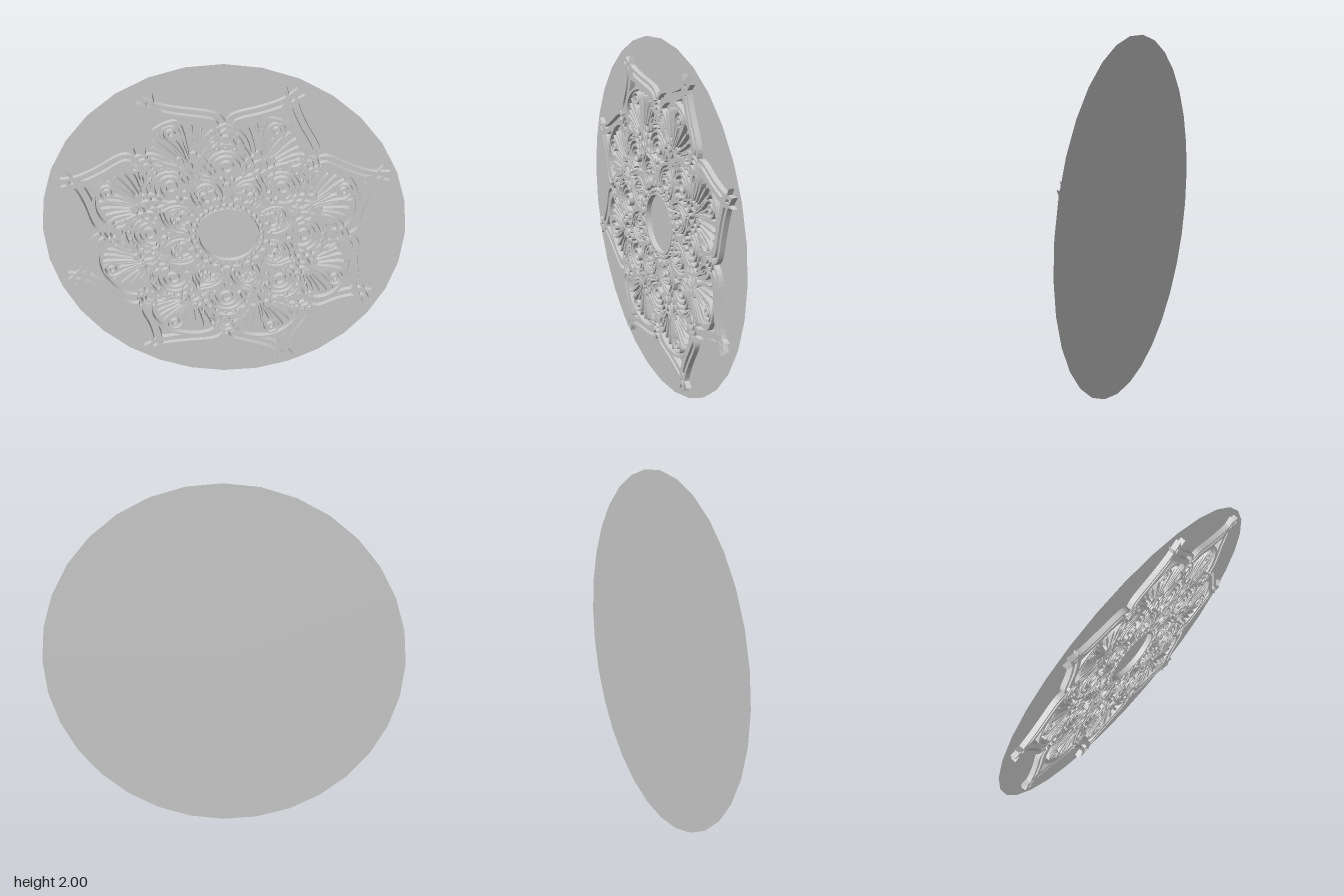
import * as THREE from 'three';
import { mergeGeometries } from 'three/addons/utils/BufferGeometryUtils.js';

const DEG = Math.PI / 180, SECTOR = 45 * DEG, HALF = SECTOR / 2;
const BACK = -0.015, RELIEF = 0.029;
// Slight hand-drawn irregularity of the eight petals: angle offset and tip radius
const LEAN = [2, -0.5, 4.5, 1.5, -2.5, -5.5, 0.3, -5];
const REACH = [0.967, 0.955, 0.93, 0.94, 0.94, 0.94, 0.955, 0.935];

const V = (x, y) => new THREE.Vector2(x, y);
const polar = (r, deg) => V(r * Math.cos(deg * DEG), r * Math.sin(deg * DEG));
const smooth = (pts, n = 16) => new THREE.SplineCurve(pts).getPoints(n);
const flip = pts => pts.map(p => V(p.x, -p.y));

// Mirror a half outline that starts on the axis into a full one with a crisp tip
const mirrored = half => {
  const h = smooth(half.map(([r, a]) => polar(r, a)));
  return [...flip(h).reverse(), ...h.slice(1)];
};

const arc = (cx, cy, rx, ry, from, to, n = 24) => Array.from({ length: n + 1 }, (_, i) => {
  const t = (from + (to - from) * i / n) * DEG;
  return V(cx + rx * Math.cos(t), cy + ry * Math.sin(t));
});

// Parallel copy of an open line, with limited mitres
function offset(pts, d) {
  return pts.map((p, i) => {
    const a = pts[Math.max(0, i - 1)], b = pts[Math.min(pts.length - 1, i + 1)];
    const d1 = p.clone().sub(a).normalize(), d2 = b.clone().sub(p).normalize();
    if (i === 0) d1.copy(d2);
    if (i === pts.length - 1) d2.copy(d1);
    const n = V(-d1.y - d2.y, d1.x + d2.x).normalize();
    const m = Math.min(2.2, 1 / Math.max(0.2, n.dot(V(-d1.y, d1.x))));
    return p.clone().addScaledVector(n, d * m);
  });
}

// Each ornament is { outer, hole } in a local frame
const stroke = (pts, w) => ({ outer: [...offset(pts, w / 2), ...offset(pts, -w / 2).reverse()] });
const oval = (x, y, rx, ry = rx, n = 12) => ({ outer: arc(x, y, rx, ry, 0, 360, n).slice(0, -1) });
const ring = (x, y, r, w, ratio = 1, n = 18) => ({
  outer: oval(x, y, r, r * ratio, n).outer,
  hole: oval(x, y, r - w, (r - w) * ratio, n).outer,
});
// Teardrop from a point at its base to a round outer end
function drop(x, y, deg, start, end, w) {
  const d = polar(1, deg), pts = [];
  for (let i = 0; i < 16; i++) {
    const t = i / 16 * Math.PI * 2;
    const s = (1 - Math.cos(t)) / 2, side = w * Math.sin(t) * (0.25 + 0.75 * s);
    const l = start + (end - start) * s;
    pts.push(V(x + d.x * l - d.y * side, y + d.y * l + d.x * side));
  }
  return { outer: pts };
}
const both = item => [item, { outer: flip(item.outer), hole: item.hole && flip(item.hole) }];

// Turn a local point to its angle and add the hand-drawn irregularity
function place(p, turn) {
  let r = p.length();
  let t = Math.atan2(p.y, p.x) + turn;
  t = ((t % (2 * Math.PI)) + 2 * Math.PI) % (2 * Math.PI);
  const k = Math.floor(t / SECTOR) % 8, a = t - k * SECTOR - HALF;
  const f = Math.cos(Math.PI * a / SECTOR) ** 2 * r * r;
  t += LEAN[k] * DEG * f * 1.1;
  const shift = 1 - r;
  r *= 1 + (REACH[k] / 0.955 - 1) * f * 1.1;
  return V(r * Math.cos(t) + 0.03 * shift, r * Math.sin(t) - 0.02 * shift);
}

function raise(item, turn) {
  const shape = new THREE.Shape(item.outer.map(p => place(p, turn)));
  if (item.hole) shape.holes.push(new THREE.Path(item.hole.map(p => place(p, turn))));
  return new THREE.ExtrudeGeometry(shape, { depth: RELIEF, bevelEnabled: false })
    .translate(0, 1, BACK + 0.001);
}

// Large pointed petals: thin outer line and broader inner line
function outerPetal() {
  const edge = mirrored([[0.955, 0], [0.885, 2.5], [0.835, 6], [0.79, 11], [0.755, 17], [0.73, 20.5], [0.695, 22.5]]);
  return [stroke(offset(edge, 0.009), 0.018), stroke(offset(edge, 0.052), 0.028)];
}

// Scalloped fan of teardrops with an eyelet
function fan() {
  const items = [
    stroke(mirrored([[0.755, 0], [0.748, 5], [0.725, 11], [0.685, 16], [0.635, 19], [0.585, 19.5], [0.55, 17]]), 0.016),
    ring(0.69, 0, 0.024, 0.012),
    stroke(smooth([V(0.5, 0.006), V(0.6, 0.022), V(0.68, 0.045), V(0.725, 0.028), V(0.733, 0),
      V(0.725, -0.028), V(0.68, -0.045), V(0.6, -0.022), V(0.5, -0.006)], 24), 0.01),
    drop(0.46, 0, 0, 0.07, 0.19, 0.01),
  ];
  const lengths = [0.265, 0.255, 0.24, 0.22, 0.19, 0.16];
  lengths.forEach((l, i) => items.push(...both(drop(0.46, 0, 15 + i * 11, 0.07 + (i % 2) * 0.03, l, 0.011))));
  return items;
}

// Inner pointed petals holding a beaded dome
function innerPetal() {
  const edge = mirrored([[0.435, 0], [0.395, 4], [0.37, 10], [0.33, 16], [0.28, 20], [0.235, 21]]);
  const items = [
    stroke(edge, 0.016),
    stroke(offset(edge, 0.024), 0.009),
    stroke(arc(0.265, 0, 0.075, 0.068, -115, 115), 0.01),
    ...both(stroke(arc(0.262, 0.022, 0.03, 0.02, -60, 200, 14), 0.008)),
  ];
  for (let i = -3; i <= 3; i++) {
    const p = polar(0.055, i * 28);
    items.push(oval(0.265 + p.x, p.y, 0.007, 0.007, 8));
  }
  // leaves curling out above the petal
  items.push(...both(stroke(smooth([polar(0.385, 10), polar(0.42, 8), polar(0.46, 5.5), polar(0.51, 1)]), 0.012)));
  items.push(...both(stroke(smooth([polar(0.4, 13), polar(0.45, 11), polar(0.5, 8), polar(0.535, 3)]), 0.01)));
  items.push(drop(0.44, 0, 0, 0.01, 0.06, 0.012));
  return items;
}

// Nested arches between neighbouring petals
function arches() {
  const c = 0.41;
  const items = [
    stroke(arc(c, 0, 0.075, 0.07, -105, 105), 0.014),
    stroke(arc(c, 0, 0.105, 0.1, -105, 105), 0.012),
    stroke(arc(c, 0, 0.15, 0.14, -95, 95, 30), 0.014),
    ring(c + 0.015, 0, 0.035, 0.012, 1.1),
    oval(0.59, 0, 0.022, 0.026),
    stroke(mirrored([[0.675, 0], [0.655, 4], [0.625, 8], [0.585, 11], [0.545, 13]]), 0.012),
    stroke(mirrored([[0.645, 0], [0.625, 3.5], [0.595, 7], [0.56, 9.5]]), 0.009),
    ...both(oval(0.5, 0.165, 0.022, 0.02)),
    ...both(drop(0.6, 0.03, 55, 0.01, 0.06, 0.01)),
    oval(0.3, 0, 0.03, 0.022),
    ...both(oval(0.345, 0.028, 0.017, 0.013)),
  ];
  for (let i = -4; i <= 4; i++) {
    const p = polar(0.127, i * 21);
    items.push(oval(c + p.x, p.y, 0.008, 0.01, 8));
  }
  return items;
}

// Pebbles around the centre
const pebbles = () => [
  ...[-16.9, -5.6, 5.6, 16.9].map(a => {
    const p = polar(0.188, a);
    return oval(p.x, p.y, 0.011, 0.014, 8);
  }),
  ...[-15, 0, 15].map((a, i) => {
    const p = polar(i === 1 ? 0.23 : 0.224, a);
    return oval(p.x, p.y, 0.019, 0.026, 10);
  }),
];

export function createModel() {
  const group = new THREE.Group();
  const material = new THREE.MeshStandardMaterial({ color: 0xcccccc });
  const add = (name, geometry, mat = material) => {
    const mesh = new THREE.Mesh(geometry, mat);
    mesh.name = name;
    group.add(mesh);
  };
  const repeat = (name, items, start) => {
    const parts = [];
    for (let k = 0; k < 8; k++) for (const item of items) parts.push(raise(item, start + k * SECTOR));
    add(name, mergeGeometries(parts));
  };

  // Thin backing disc
  const plate = material.clone();
  plate.side = THREE.DoubleSide;
  add('backingDisc', new THREE.CircleGeometry(1, 32).translate(0, 1, BACK), plate);

  // Raised floral relief
  repeat('outerPetals', outerPetal(), HALF);
  repeat('petalFans', fan(), HALF);
  repeat('innerPetals', innerPetal(), HALF);
  repeat('arches', arches(), 0);
  repeat('centrePebbles', pebbles(), 0);
  add('centreRing', raise(ring(0, 0, 0.175, 0.013, 1, 48), 0));
  return group;
}
